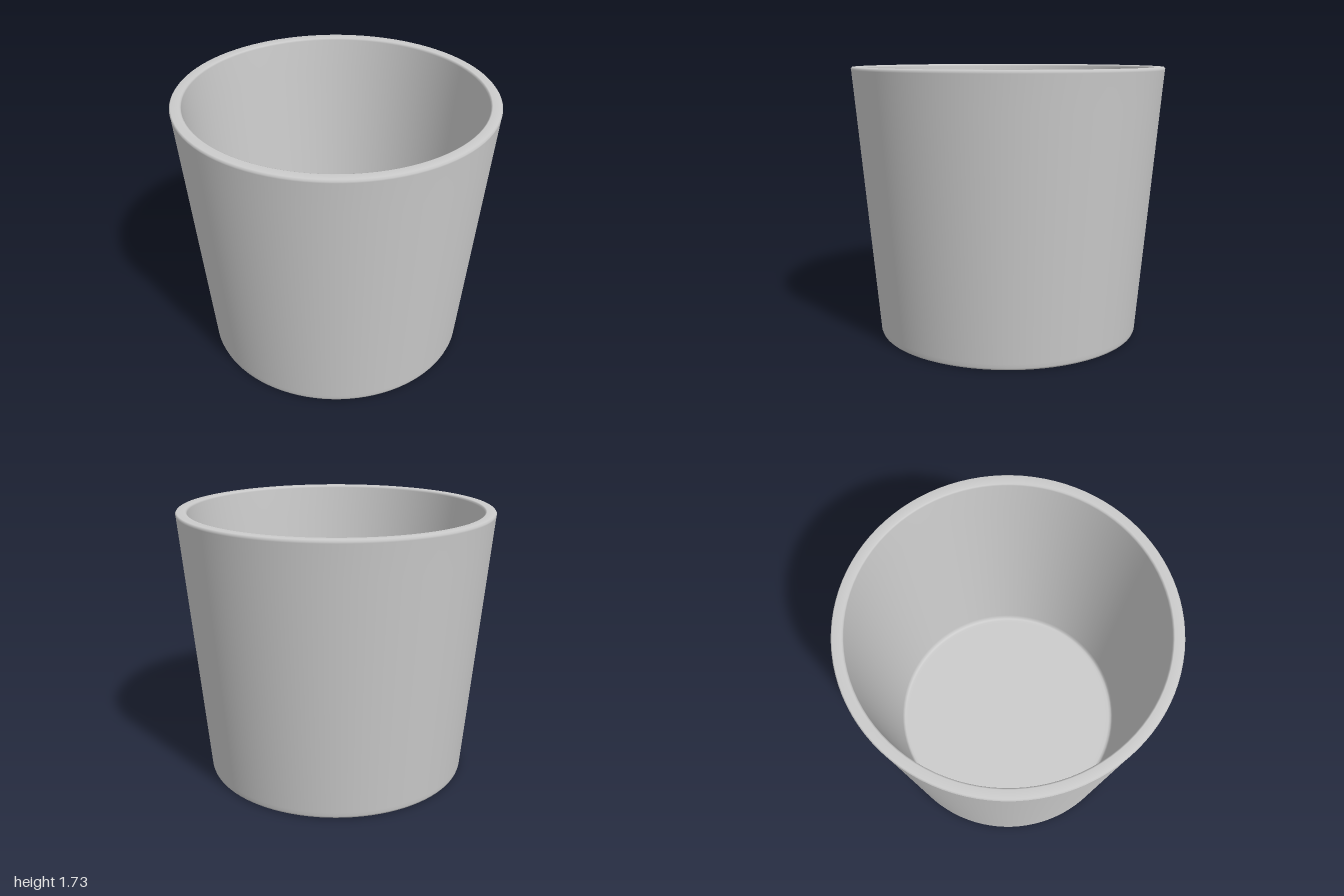
import * as THREE from 'three';

export function createModel() {
  const group = new THREE.Group();
  group.name = 'cup';
  const material = new THREE.MeshStandardMaterial({ color: 0xcccccc });

  // Closed profile: underside, outer wall, rounded rim, inner wall, floor
  const profile = [
    [0, 0], [0.82, 0], [0.843, 0], [0.851, 0.004], [0.855, 0.015], [0.857, 0.04],
    [0.98, 1.5], [0.998, 1.71], [1, 1.72], [0.992, 1.73],
    [0.94, 1.73], [0.932, 1.726], [0.929, 1.715], [0.911, 1.5],
    [0.795, 0.12], [0.79, 0.095], [0.78, 0.082], [0.765, 0.08], [0.74, 0.08], [0, 0.08],
  ].map(([r, y]) => new THREE.Vector2(r, y));

  const body = new THREE.Mesh(new THREE.LatheGeometry(profile, 96), material);
  body.name = 'cupBody';
  group.add(body);
  return group;
}
